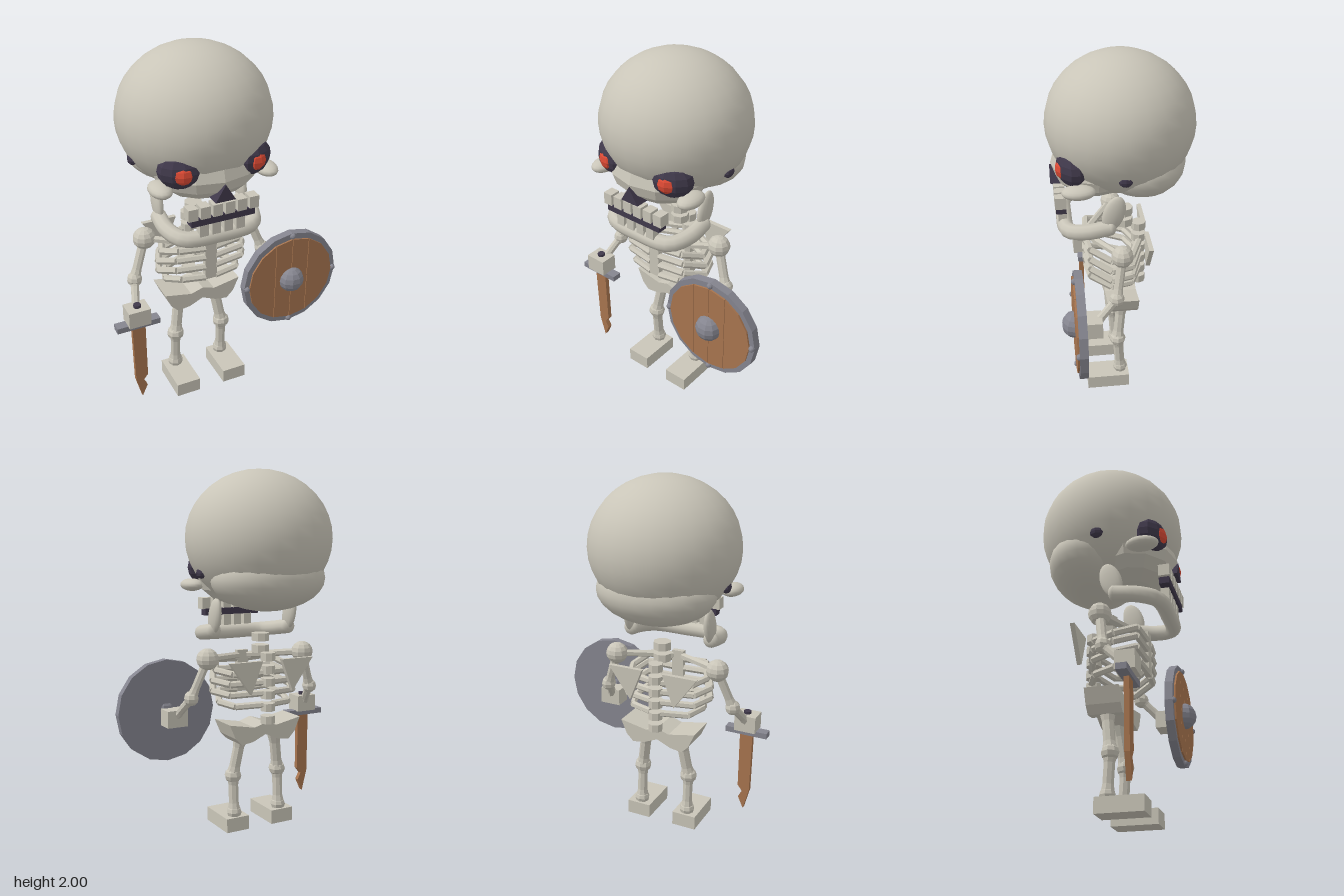
import * as THREE from 'three';

const material = (name, color) => {
  const m = new THREE.MeshStandardMaterial({ color });
  m.name = name;
  return m;
};

// Gives a geometry hard, faceted normals
const facet = (g) => {
  const f = g.index ? g.toNonIndexed() : g;
  f.computeVertexNormals();
  return f;
};

export function createModel() {
  const bone = material('bone', 0xc9c5b8);
  const dark = material('dark purple', 0x40394b);
  const red = material('eye red', 0xdc4a34);
  const wood = material('wood', 0xa8754f);
  const metal = material('metal', 0x85858f);

  const model = new THREE.Group();
  model.name = 'skeletonWarrior';
  const body = new THREE.Group();
  body.name = 'body';
  body.position.x = -0.1;
  model.add(body);

  const add = (name, geo, mat, pos = [0, 0, 0], parent = body) => {
    const m = new THREE.Mesh(geo, mat);
    m.name = name;
    m.position.set(...pos);
    parent.add(m);
    return m;
  };
  const box = (name, mat, pos, size) => add(name, new THREE.BoxGeometry(...size), mat, pos);
  // Ellipsoid, smooth or faceted
  const blob = (name, mat, pos, r, w = 16, h = 10, flat = false) => {
    const g = new THREE.SphereGeometry(1, w, h).scale(...r);
    return add(name, flat ? facet(g) : g, mat, pos);
  };
  // Faceted bar from a to b
  const rod = (name, mat, a, b, ra, rb = ra, sides = 8) => {
    const A = new THREE.Vector3(...a), B = new THREE.Vector3(...b), d = B.clone().sub(A);
    const m = add(name, facet(new THREE.CylinderGeometry(rb, ra, d.length(), sides)), bone,
      A.clone().add(B).multiplyScalar(0.5).toArray());
    m.material = mat;
    m.quaternion.setFromUnitVectors(new THREE.Vector3(0, 1, 0), d.normalize());
    return m;
  };
  // Long bone with a thin shaft and flared ends
  const longBone = (name, a, b, r) => {
    const at = (t) => a.map((v, i) => v + (b[i] - v) * t);
    rod(name + 'Top', bone, a, at(0.25), r * 1.35, r);
    rod(name + 'Shaft', bone, at(0.25), at(0.75), r);
    rod(name + 'Bottom', bone, at(0.75), b, r, r * 1.35);
  };
  const extrude = (pts, depth, z0 = 0) => {
    const shape = new THREE.Shape(pts.map(([x, y]) => new THREE.Vector2(x, y)));
    return new THREE.ExtrudeGeometry(shape, { depth, bevelEnabled: false }).translate(0, 0, z0);
  };

  // Skull
  blob('cranium', bone, [0, 1.63, 0.002], [0.405, 0.37, 0.395], 24, 18);
  blob('skullBack', bone, [0, 1.42, -0.1], [0.33, 0.178, 0.245], 24, 14);
  blob('face', bone, [0, 1.41, 0.14], [0.285, 0.155, 0.235], 12, 8, true);
  add('nose', extrude([[-0.055, 1.31], [0.055, 1.31], [0, 1.4]], 0.1, 0.28), dark);
  for (const s of [-1, 1]) {
    blob('eyeSocket', dark, [s * 0.2, 1.47, 0.275], [0.11, 0.092, 0.07], 10, 8, true).rotation.y = s * 0.4;
    blob('eye', red, [s * 0.197, 1.465, 0.315], [0.055, 0.052, 0.042], 8, 6, true).rotation.y = s * 0.3;
    blob('cheekbone', bone, [s * 0.29, 1.375, 0.245], [0.058, 0.035, 0.088]);
    blob('earHole', dark, [s * 0.345, 1.45, 0.013], [0.025, 0.03, 0.037], 8, 6, true);
    blob('jawHinge', bone, [s * 0.24, 1.21, 0.063], [0.027, 0.105, 0.058]).rotation.x = -0.3;
  }

  // Teeth, mouth and lower jaw
  for (let i = 0; i < 6; i++) {
    const x = (i - 2.5) * 0.067;
    box('upperTooth', bone, [x, 1.26, 0.335], [0.052, 0.065, 0.06]);
    if (i > 0 && i < 5) box('lowerTooth', bone, [x, 1.155, 0.325], [0.048, 0.075, 0.045]);
  }
  box('mouth', dark, [0, 1.21, 0.332], [0.35, 0.04, 0.055]);
  const jaw = [[-0.24, 1.13, 0.08], [-0.24, 1.11, 0.2], [-0.19, 1.095, 0.295], [0, 1.09, 0.315],
    [0.19, 1.095, 0.295], [0.24, 1.11, 0.2], [0.24, 1.13, 0.08]];
  add('lowerJaw', new THREE.TubeGeometry(
    new THREE.CatmullRomCurve3(jaw.map((p) => new THREE.Vector3(...p))), 24, 0.043, 10), bone);
  for (const s of [-1, 1]) blob('jawEnd', bone, [s * 0.24, 1.13, 0.08], [0.043, 0.043, 0.03]);

  // Spine
  const vertebra = (y, z, r) => add('vertebra', facet(new THREE.CylinderGeometry(r, r, 0.043, 8)), bone, [0, y, z]);
  [1.095, 1.03].forEach((y) => vertebra(y, -0.018, 0.05));
  for (let i = 0; i < 6; i++) vertebra(0.645 + i * 0.07, -0.1, 0.041);
  box('sternum', bone, [0, 0.875, 0.195], [0.068, 0.24, 0.03]);

  // Ribs, collarbones and shoulder blades
  const ribs = [[0.945, 0.23], [0.89, 0.25], [0.83, 0.25], [0.765, 0.21]];
  for (const s of [-1, 1]) {
    for (const [y, w] of ribs) {
      const path = [[0.03, y, 0.2], [w * 0.75, y + 0.01, 0.185], [w, y - 0.035, 0.075],
        [w * 0.8, y - 0.045, -0.04], [0.03, y - 0.035, -0.1]].map(([x, h, z]) => [s * x, h, z]);
      for (let i = 0; i < 4; i++) rod('rib', bone, path[i], path[i + 1], 0.019, 0.019, 6);
    }
    rod('collarbone', bone, [s * 0.03, 0.965, 0.19], [s * 0.3, 0.985, 0.03], 0.02, 0.02, 6);
    const blade = [[s * 0.06, 0.98], [s * 0.26, 0.98], [s * 0.13, 0.8]];
    add('shoulderBlade', extrude(blade, 0.025, -0.15), bone);
  }

  // Arms and legs
  for (const s of [-1, 1]) {
    const shoulder = [s * 0.305, 0.985, 0.025], elbow = [s * 0.385, 0.77, 0.065];
    const hip = [s * 0.11, 0.53, 0.01], knee = [s * 0.145, 0.31, 0.035], ankle = [s * 0.145, 0.1, 0.022];
    blob('shoulder', bone, shoulder, [0.063, 0.06, 0.06], 10, 8, true);
    blob('elbow', bone, elbow, [0.042, 0.042, 0.042], 8, 6, true);
    longBone('upperArm', shoulder, elbow, 0.025);
    longBone('forearm', elbow, [s * 0.425, 0.65, 0.18], 0.023);
    box('hand', bone, [s * 0.427, 0.642, 0.2], [0.122, 0.095, 0.1]);
    longBone('thigh', hip, knee, 0.031);
    longBone('shin', knee, ankle, 0.029);
    blob('knee', bone, knee, [0.05, 0.044, 0.047], 8, 6, true);
    blob('ankle', bone, ankle, [0.044, 0.04, 0.042], 8, 6, true);
    box('foot', bone, [s * 0.145, 0.04, 0.097], [0.14, 0.08, 0.245]);
  }

  // Pelvis
  add('pelvis', extrude([[-0.225, 0.63], [-0.19, 0.55], [-0.15, 0.51], [-0.08, 0.52], [0, 0.555], [0.08, 0.52],
    [0.15, 0.51], [0.19, 0.55], [0.225, 0.63], [0.07, 0.6], [0, 0.622], [-0.07, 0.6]], 0.18, -0.08), bone);

  // Sword with a chipped blade
  box('swordGuard', metal, [-0.428, 0.582, 0.2], [0.242, 0.032, 0.055]);
  add('swordBlade', extrude([[-0.463, 0.58], [-0.458, 0.21], [-0.426, 0.085], [-0.394, 0.155], [-0.415, 0.196],
    [-0.389, 0.23], [-0.389, 0.58]], 0.026, 0.19), wood);
  add('swordGrip', facet(new THREE.CylinderGeometry(0.021, 0.021, 0.12, 8)), dark, [-0.425, 0.645, 0.2]);

  // Shield: rim disc, planks, boss and rivets
  const shield = new THREE.Group();
  shield.name = 'shield';
  shield.position.set(0.45, 0.675, 0);
  body.add(shield);
  const disc = facet(new THREE.CylinderGeometry(0.289, 0.289, 0.045, 16).rotateX(Math.PI / 2));
  add('shieldRim', disc, metal, [0, 0, 0.268], shield);
  const corner = (k, shift) => {
    const a = (k * Math.PI) / 8;
    return [0.255 * Math.cos(a) + shift, 0.255 * Math.sin(a)];
  };
  const plankCorners = [[-3, -2, -1, 0, 1, 2, 3], [-4, -3, 3, 4], [-5, -4, 4, 5], [-8, -7, -6, -5, 5, 6, 7]];
  plankCorners.forEach((ks, i) => {
    const pts = ks.map((k) => corner(k, (1.5 - i) * 0.003));
    add('shieldPlank', extrude(pts, 0.012, 0.288), wood, [0, 0, 0], shield);
  });
  const ball = (r, z) => facet(new THREE.SphereGeometry(1, 10, 8).scale(r, r, z));
  add('shieldBoss', ball(0.073, 0.068), metal, [0, 0, 0.298], shield);
  for (let i = 0; i < 4; i++) {
    const a = (i * Math.PI) / 2;
    add('shieldRivet', ball(0.017, 0.017), metal, [0.272 * Math.cos(a), 0.272 * Math.sin(a), 0.292], shield);
  }
  return model;
}
